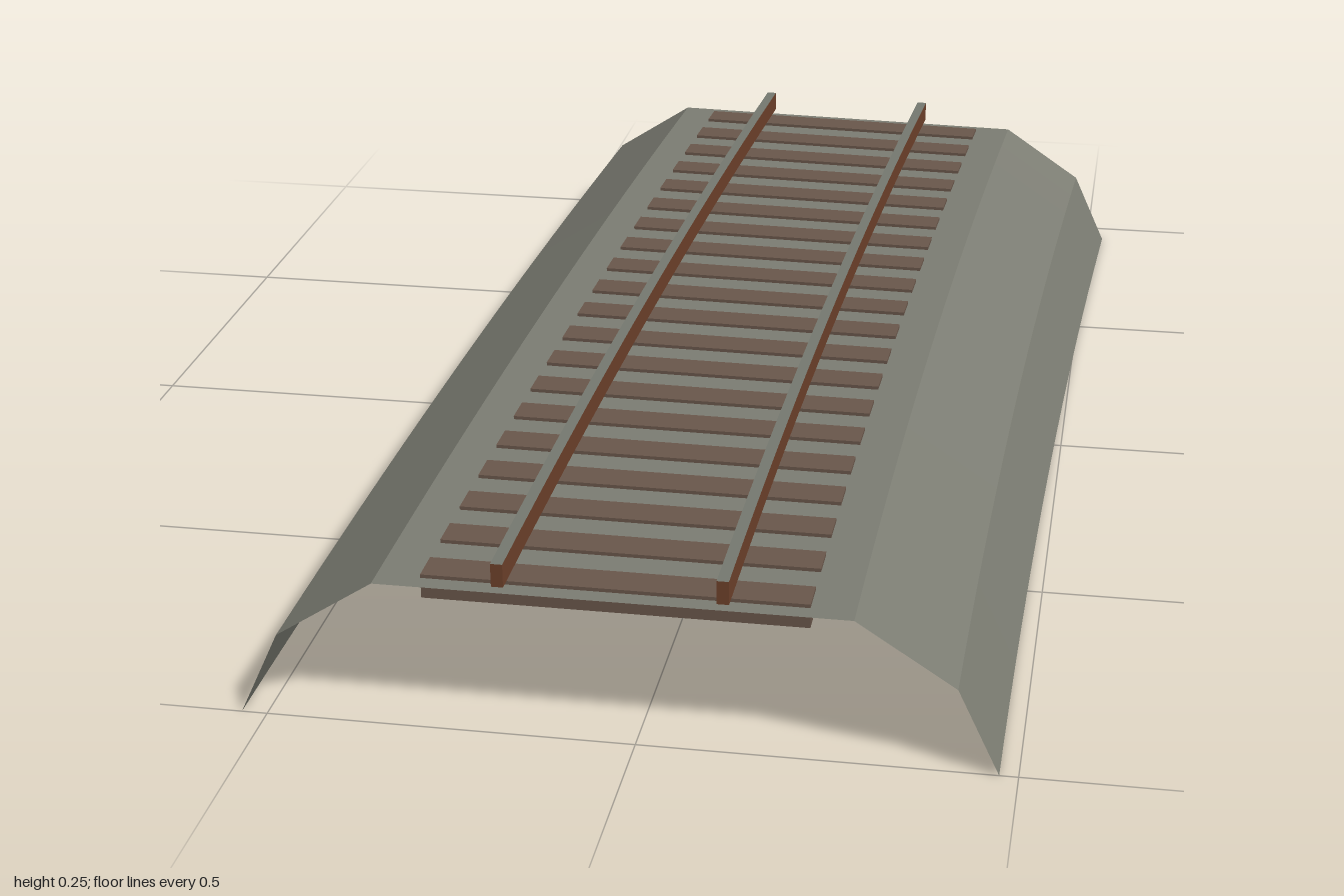
import * as THREE from 'three';

// Track centreline: a gentle arc that bends towards +x
const RADIUS = 35.8, ANGLE = 0.0551, START_X = -0.03, SEGMENTS = 20;

// Point at arc angle a, sideways offset o and height y
function onTrack(a, o, y) {
  return [START_X + RADIUS - (RADIUS - o) * Math.cos(a), y, 1 - (RADIUS - o) * Math.sin(a)];
}

// Sweep a profile of [offset, height] points along the arc, with sharp profile corners
function sweep(profile, capped = false) {
  const pos = [];
  const quad = (a, b, c, d) => pos.push(...a, ...b, ...c, ...a, ...c, ...d);
  for (let s = 0; s < SEGMENTS; s++) {
    const a0 = ANGLE * s / SEGMENTS, a1 = ANGLE * (s + 1) / SEGMENTS;
    for (let k = 0; k + 1 < profile.length; k++) {
      const p = profile[k], q = profile[k + 1];
      quad(onTrack(a0, ...p), onTrack(a0, ...q), onTrack(a1, ...q), onTrack(a1, ...p));
    }
  }
  if (capped) {
    quad(...[...profile].reverse().map(p => onTrack(0, ...p)));
    quad(...profile.map(p => onTrack(ANGLE, ...p)));
  }
  const g = new THREE.BufferGeometry();
  g.setAttribute('position', new THREE.Float32BufferAttribute(pos, 3));
  g.computeVertexNormals();
  return g;
}

export function createModel() {
  const model = new THREE.Group();
  model.name = 'curvedTrack';
  const material = (name, color, extra = {}) => {
    const m = new THREE.MeshStandardMaterial({ color, ...extra });
    m.name = name;
    return m;
  };
  const gravel = material('gravelGrey', 0x7c7d73, { side: THREE.DoubleSide });
  const wood = material('sleeperBrown', 0x6a574b);
  const rust = material('rustBrown', 0x6e412b);
  const steel = material('wornSteel', 0x757970);

  const add = (parent, name, geometry, mat) => {
    const mesh = new THREE.Mesh(geometry, mat);
    mesh.name = name;
    parent.add(mesh);
    return mesh;
  };

  // Open gravel bed: two-step shoulders and a flat top
  add(model, 'ballastBed', sweep([
    [-0.505, 0], [-0.449, 0.121], [-0.315, 0.209],
    [0.315, 0.209], [0.449, 0.121], [0.505, 0],
  ]), gravel);

  // Sleepers, barely proud of the gravel
  const sleepers = new THREE.Group();
  sleepers.name = 'sleepers';
  model.add(sleepers);
  const sleeperShape = new THREE.BoxGeometry(0.512, 0.034, 0.049);
  const COUNT = 20;
  for (let i = 0; i < COUNT; i++) {
    const a = ANGLE * (i + 0.5) / COUNT;
    const sleeper = add(sleepers, 'sleeper', sleeperShape, wood);
    sleeper.position.set(...onTrack(a, 0, 0.197));
    sleeper.rotation.y = -a;
  }

  // Rails: rusty sides, underside and ends with a worn running surface
  for (const [name, centre] of [['rightRail', -0.147], ['leftRail', 0.147]]) {
    const rail = new THREE.Group();
    rail.name = name;
    model.add(rail);
    const l = centre - 0.008, r = centre + 0.008, low = 0.218, high = 0.251;
    add(rail, 'railBody', sweep([[r, high], [r, low], [l, low], [l, high]], true), rust);
    add(rail, 'railTop', sweep([[l, high], [r, high]]), steel);
  }
  return model;
}
